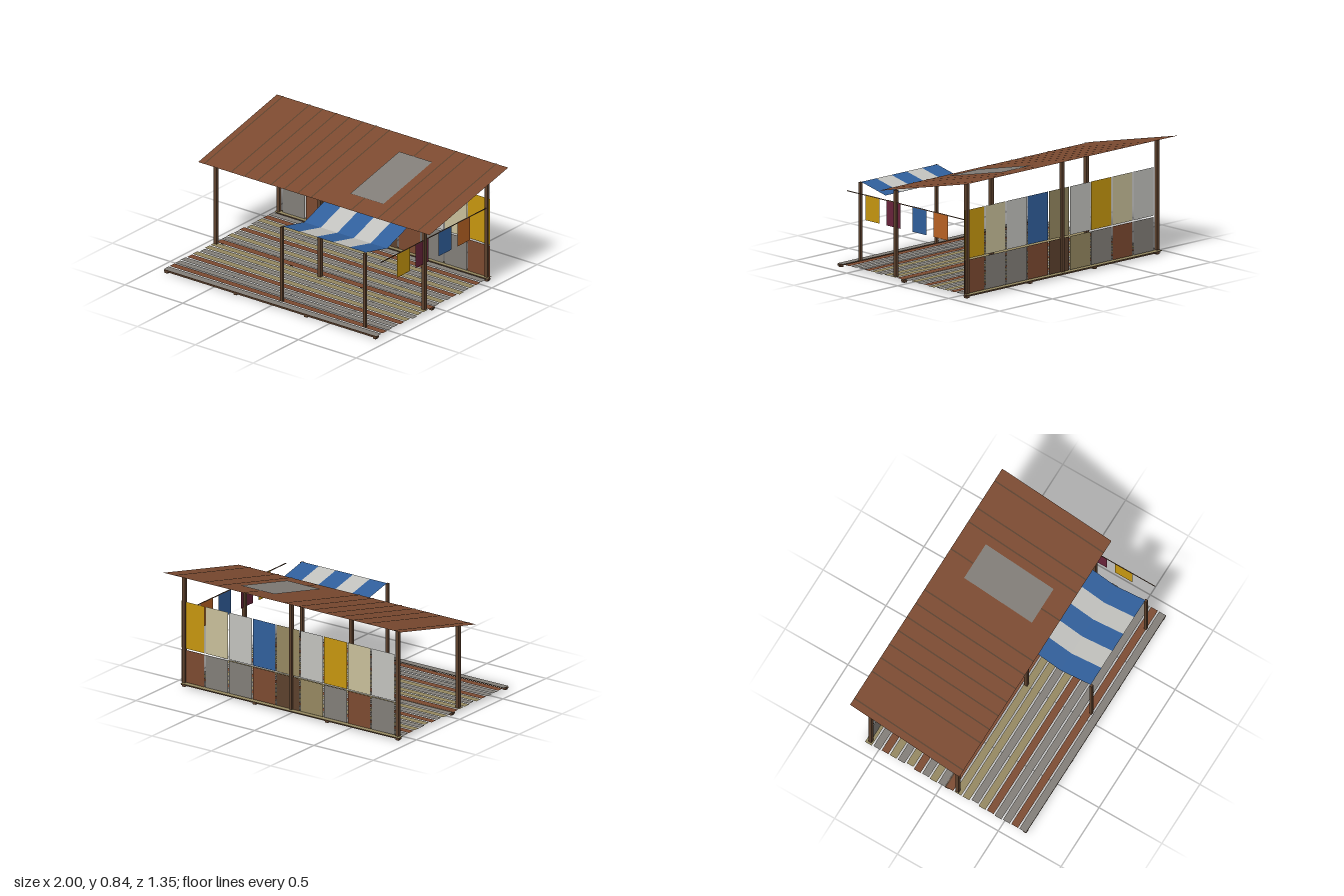
import * as THREE from 'three';

const mat = (name, color) => {
  const m = new THREE.MeshStandardMaterial({ color, side: THREE.DoubleSide });
  m.name = name;
  return m;
};

export function createModel() {
  const M = {
    rust: mat('rust brown', 0x7c4a30),
    timber: mat('dark timber', 0x5c412d),
    gray: mat('weathered gray', 0x827e78),
    khaki: mat('khaki', 0x958860),
    cream: mat('cream', 0xc8bf9a),
    pale: mat('pale gray', 0xc2c2be),
    yellow: mat('yellow', 0xc6960f),
    blue: mat('blue', 0x305f9c),
    maroon: mat('maroon', 0x68233a),
    orange: mat('orange', 0xb86224),
  };
  const root = new THREE.Group();
  root.name = 'marketShelter';

  const group = (name) => {
    const g = new THREE.Group();
    g.name = name;
    root.add(g);
    return g;
  };
  const add = (parent, name, geo, material, x, y, z) => {
    const m = new THREE.Mesh(geo, material);
    m.name = name;
    m.position.set(x, y, z);
    parent.add(m);
    return m;
  };
  const box = (parent, name, material, w, h, d, x, y, z) =>
    add(parent, name, new THREE.BoxGeometry(w, h, d), material, x, y, z);
  // Flat sheet across x0..x1, running from its back edge to its front edge
  const sheet = (parent, name, material, x0, x1, zBack, yBack, zFront, yFront, lift = 0) => {
    const geo = new THREE.PlaneGeometry(x1 - x0, Math.hypot(zBack - zFront, yBack - yFront));
    geo.translate(0, 0, lift);
    geo.rotateX(Math.atan2(zBack - zFront, yBack - yFront));
    return add(parent, name, geo, material, (x0 + x1) / 2, (yBack + yFront) / 2, (zBack + zFront) / 2);
  };

  // Feet and bearers below the deck
  const base = group('base');
  for (const z of [0.66, 0.04, -0.575]) {
    box(base, 'bearer', M.timber, 1.84, 0.012, 0.025, 0, 0.016, z);
    for (const x of [-0.9, -0.305, 0.305, 0.9]) box(base, 'foot', M.timber, 0.025, 0.01, 0.025, x, 0.005, z);
  }

  // Deck planks from front to back, with slightly uneven ends
  const deck = group('deck');
  const plankColors = [
    'gray', 'rust', 'gray', 'gray', 'rust', 'khaki', 'gray', 'khaki', 'khaki', 'rust',
    'gray', 'khaki', 'gray', 'rust', 'khaki', 'gray', 'khaki', 'rust', 'gray', 'khaki',
  ];
  const shifts = [0, 0, -0.002, -0.006, 0, -0.003, 0.01, 0];
  plankColors.forEach((c, i) => {
    const z = 0.646 - i * 0.0645;
    const s = shifts[i % shifts.length];
    sheet(deck, 'plank', M[c], s - 0.92, s + 0.92, z - 0.0265, 0.026, z + 0.0265, 0.026);
  });

  // Roof posts and the shorter awning posts
  const posts = group('posts');
  for (const x of [-0.9, 0, 0.9]) {
    box(posts, 'backPost', M.timber, 0.025, 0.77, 0.025, x, 0.415, -0.575);
    box(posts, 'middlePost', M.timber, 0.025, 0.603, 0.025, x, 0.3315, 0.12);
  }
  for (const x of [0.05, 0.768]) box(posts, 'awningPost', M.timber, 0.02, 0.55, 0.02, x, 0.305, 0.605);

  // Single-pitch roof with seams and a patch
  const roof = group('roof');
  const backZ = -0.68, backY = 0.833, frontZ = 0.19, frontY = 0.633;
  const roofY = (z) => backY + ((z - backZ) / (frontZ - backZ)) * (frontY - backY);
  sheet(roof, 'roofSheet', M.rust, -1, 1, backZ, backY, frontZ, frontY);
  for (const i of [0, 2, 3, 4, 5, 6, 7, 8, 11, 13, 14, 16]) {
    const x = -0.946 + i * 0.1153;
    sheet(roof, 'roofSeam', M.timber, x - 0.005, x + 0.005, backZ, backY, frontZ, frontY, 0.003);
  }
  sheet(roof, 'roofPatch', M.gray, 0.2, 0.485, -0.5, roofY(-0.5), 0.04, roofY(0.04), 0.006);

  // Back wall: two rows of mismatched panels
  const wall = group('backWall');
  const upper = ['pale', 'cream', 'yellow', 'pale', 'khaki', 'blue', 'pale', 'cream', 'yellow'];
  const lower = ['gray', 'rust', 'gray', 'khaki', 'timber', 'rust', 'gray', 'gray', 'rust'];
  const panel = (name, c, x, y0, y1) =>
    add(wall, name, new THREE.PlaneGeometry(0.192, y1 - y0), M[c], x, (y0 + y1) / 2, -0.575);
  for (let i = 0; i < 9; i++) {
    const x = -0.772 + i * 0.2;
    panel('upperPanel', upper[i], x, 0.275, 0.615);
    panel('lowerPanel', lower[i], x, 0.03, 0.265);
  }

  // Sagging striped awning
  const awning = group('awning');
  for (let i = 0; i < 5; i++) {
    const x = 0.05 + i * 0.1436;
    const m = i % 2 ? M.pale : M.blue;
    sheet(awning, 'awningBackStripe', m, x, x + 0.1436, 0.12, 0.615, 0.36, 0.53);
    sheet(awning, 'awningFrontStripe', m, x, x + 0.1436, 0.36, 0.53, 0.6, 0.583);
  }

  // Line with hanging cloths along the left side
  const line = group('clothLine');
  box(line, 'rope', M.timber, 0.005, 0.005, 1.175, 0.9, 0.544, 0.0125);
  [['yellow', 0.35], ['maroon', 0.145], ['blue', -0.11], ['orange', -0.318]].forEach(([c, z]) => {
    const geo = new THREE.PlaneGeometry(0.14, 0.18).rotateY(Math.PI / 2);
    add(line, 'hangingCloth', geo, M[c], 0.9, 0.459, z);
  });

  return root;
}
